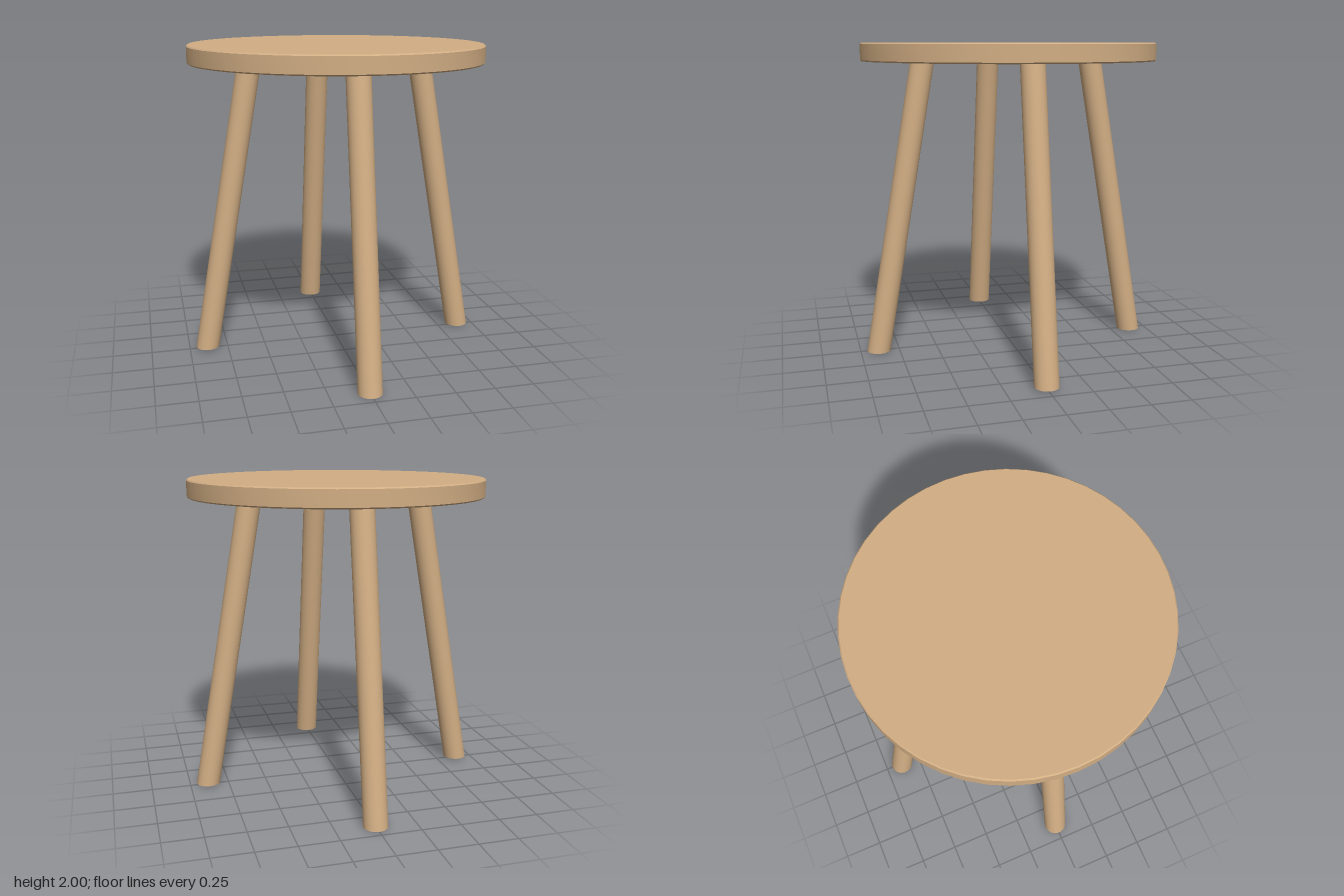
import * as THREE from 'three';
import { toCreasedNormals } from 'three/addons/utils/BufferGeometryUtils.js';

const wood = new THREE.MeshStandardMaterial({ color: 0xd2ae84 });

// Round seat board with slightly eased edges
function makeSeat() {
  const R = 0.945, bottom = 1.885, top = 2, ease = 0.008;
  const profile = [
    [0, bottom], [R - ease, bottom], [R, bottom + ease],
    [R, top - ease], [R - ease, top], [0, top],
  ].map(([r, y]) => new THREE.Vector2(r, y));
  const seat = new THREE.Mesh(toCreasedNormals(new THREE.LatheGeometry(profile, 48), 0.6), wood);
  seat.name = 'seat';
  return seat;
}

// Leg leaning outward along +x, with its ends cut level
function makeLegGeometry(footY) {
  const topY = 1.89, topX = 0.56, footX = 0.882, radius = 0.076;
  const height = topY - footY;
  const geometry = new THREE.CylinderGeometry(radius, radius, height, 32);
  geometry.translate(0, footY + height / 2, 0);
  const slope = (footX - topX) / height;
  const shear = new THREE.Matrix4().set(
    1, -slope, 0, topX + slope * topY,
    0, 1, 0, 0,
    0, 0, 1, 0,
    0, 0, 0, 1,
  );
  return geometry.applyMatrix4(shear);
}

export function createModel() {
  const model = new THREE.Group();
  model.name = 'stool';
  model.add(makeSeat());

  // Four splayed legs; the side pair is a touch shorter
  ['leftLeg', 'backLeg', 'rightLeg', 'frontLeg'].forEach((name, i) => {
    const leg = new THREE.Mesh(makeLegGeometry(i % 2 ? 0 : 0.012), wood);
    leg.name = name;
    leg.rotation.y = i * Math.PI / 2;
    model.add(leg);
  });
  return model;
}
